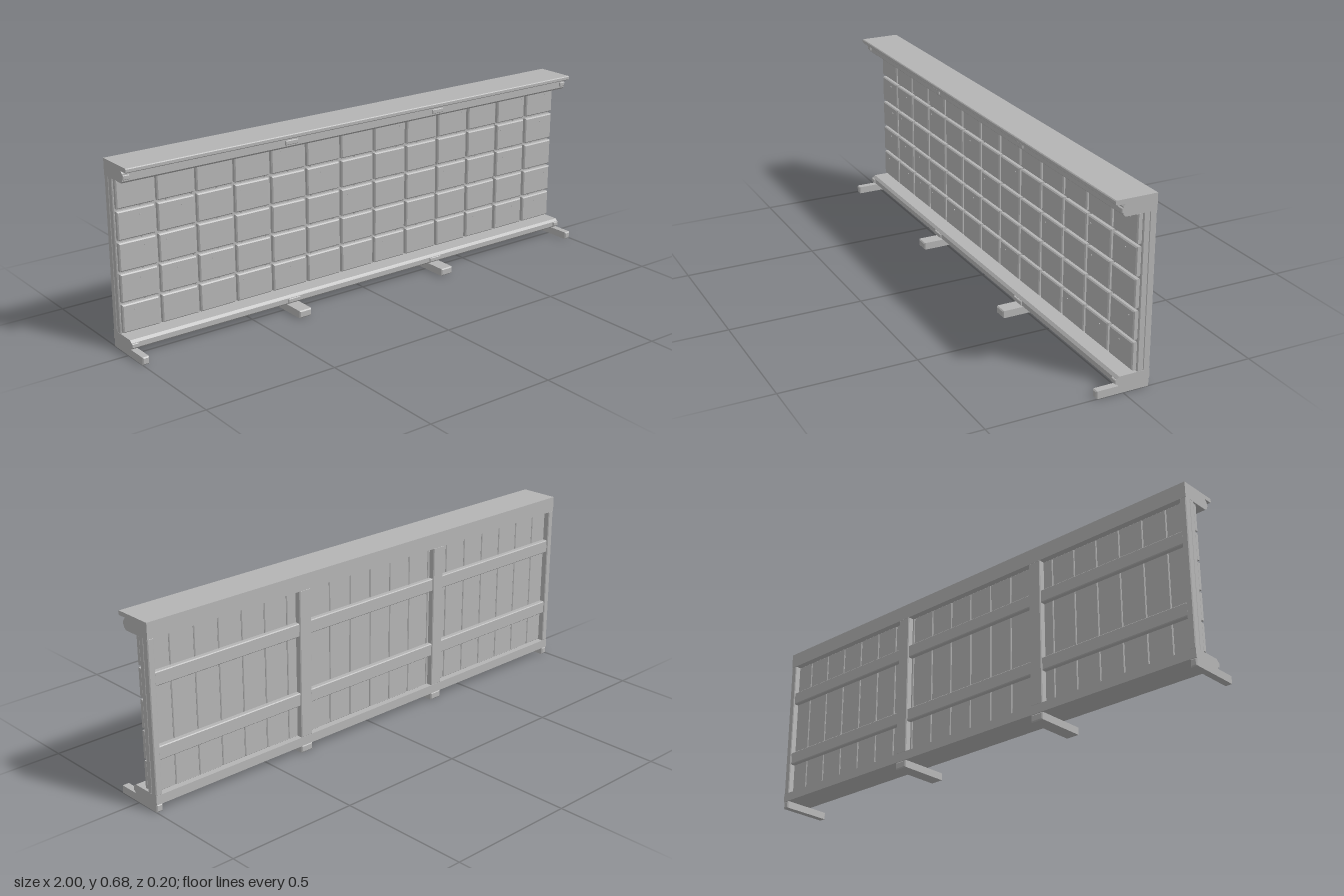
import * as THREE from 'three';

const grey = new THREE.MeshStandardMaterial({ color: 0xb4b4b4 });
grey.name = 'plain grey';

// Box with chamfered edges, centred on its own origin
function chamferBox(w, h, d, b) {
  const x = w / 2 - b, y = h / 2 - b;
  const s = new THREE.Shape([[-x, -y], [x, -y], [x, y], [-x, y]].map(p => new THREE.Vector2(...p)));
  const g = new THREE.ExtrudeGeometry(s, {
    depth: d - 2 * b, bevelEnabled: true, bevelThickness: b, bevelSize: b, bevelSegments: 1,
  });
  return g.translate(0, 0, b - d / 2);
}

// Profile of [z, y] points swept along the full width
function sweep(points, width = 2) {
  const s = new THREE.Shape(points.map(p => new THREE.Vector2(...p)));
  const g = new THREE.ExtrudeGeometry(s, { depth: width, bevelEnabled: false });
  return g.rotateY(-Math.PI / 2).translate(width / 2, 0, 0);
}

export function createModel() {
  const root = new THREE.Group();
  root.name = 'panelWall';

  function add(name, geo, parent = root) {
    const m = new THREE.Mesh(geo, grey);
    m.name = name;
    parent.add(m);
    return m;
  }
  // Chamfered box from its low and high corners
  function span(name, x0, x1, y0, y1, z0, z1, b, parent) {
    const m = add(name, chamferBox(x1 - x0, y1 - y0, z1 - z0, b), parent);
    m.position.set((x0 + x1) / 2, (y0 + y1) / 2, (z0 + z1) / 2);
    return m;
  }
  function group(name) {
    const g = new THREE.Group();
    g.name = name;
    root.add(g);
    return g;
  }

  // Bottom beam and the top beam with its overhanging shelf
  add('bottomBeam', sweep([
    [-0.1, 0.028], [0.017, 0.028], [0.025, 0.035], [0.025, 0.053], [0.016, 0.062], [-0.1, 0.062],
  ]));
  add('topBeam', sweep([
    [-0.1, 0.62], [0.016, 0.62], [0.025, 0.628], [0.025, 0.655], [0.017, 0.663],
    [0.05, 0.663], [0.053, 0.666], [0.053, 0.676], [0.05, 0.679], [-0.1, 0.679],
  ]));

  // Feet, posts and small beam plates share four stations
  const stations = [[-1, -0.975], [-0.36, -0.308], [0.308, 0.36], [0.975, 1]];
  const feet = group('feet'), posts = group('backPosts'), plates = group('beamPlates');
  for (const [a, b] of stations) {
    span('foot', a, b, 0, 0.028, -0.1, 0.1, 0.004, feet);
    span('backPost', a, b, 0.06, 0.622, -0.1, -0.074, 0.003, posts);
    for (const y of [0.044, 0.642]) {
      span('beamPlate', a, b, y - 0.008, y + 0.008, 0.022, 0.031, 0.002, plates);
    }
  }

  // Upright planks behind the blocks
  const planks = group('planks');
  const n = 20, pitch = 2 / n;
  for (let i = 0; i < n; i++) {
    const x = -1 + i * pitch;
    span('plank', x + 0.0005, x + pitch - 0.0005, 0.06, 0.622, -0.076, -0.052, 0.003, planks);
  }

  // Cross rails between the back posts
  const rails = group('backRails');
  for (let i = 0; i < 3; i++) {
    for (const y of [0.21, 0.475]) {
      span('backRail', stations[i][1] - 0.002, stations[i + 1][0] + 0.002,
        y - 0.025, y + 0.025, -0.096, -0.074, 0.003, rails);
    }
  }

  // Front grid of slightly uneven blocks
  let seed = 7;
  const jitter = () => {
    seed = (seed * 16807) % 2147483647;
    return seed / 2147483647 - 0.5;
  };
  const blocks = group('frontBlocks');
  for (let c = 0; c < 13; c++) {
    for (let r = 0; r < 5; r++) {
      const m = add('frontBlock', chamferBox(0.142, 0.102, 0.02, 0.004), blocks);
      m.position.set(-0.925 + c * 1.85 / 12, 0.119 + r * 0.1118, -0.0425);
      m.rotation.z = jitter() * 0.012;
      // Small peg on the block face
      if (jitter() > 0.1) {
        const peg = new THREE.CylinderGeometry(0.003, 0.003, 0.004, 6).rotateX(Math.PI / 2);
        add('peg', peg, m).position.set(jitter() * 0.11, 0.028, 0.0105);
      }
    }
  }
  return root;
}
